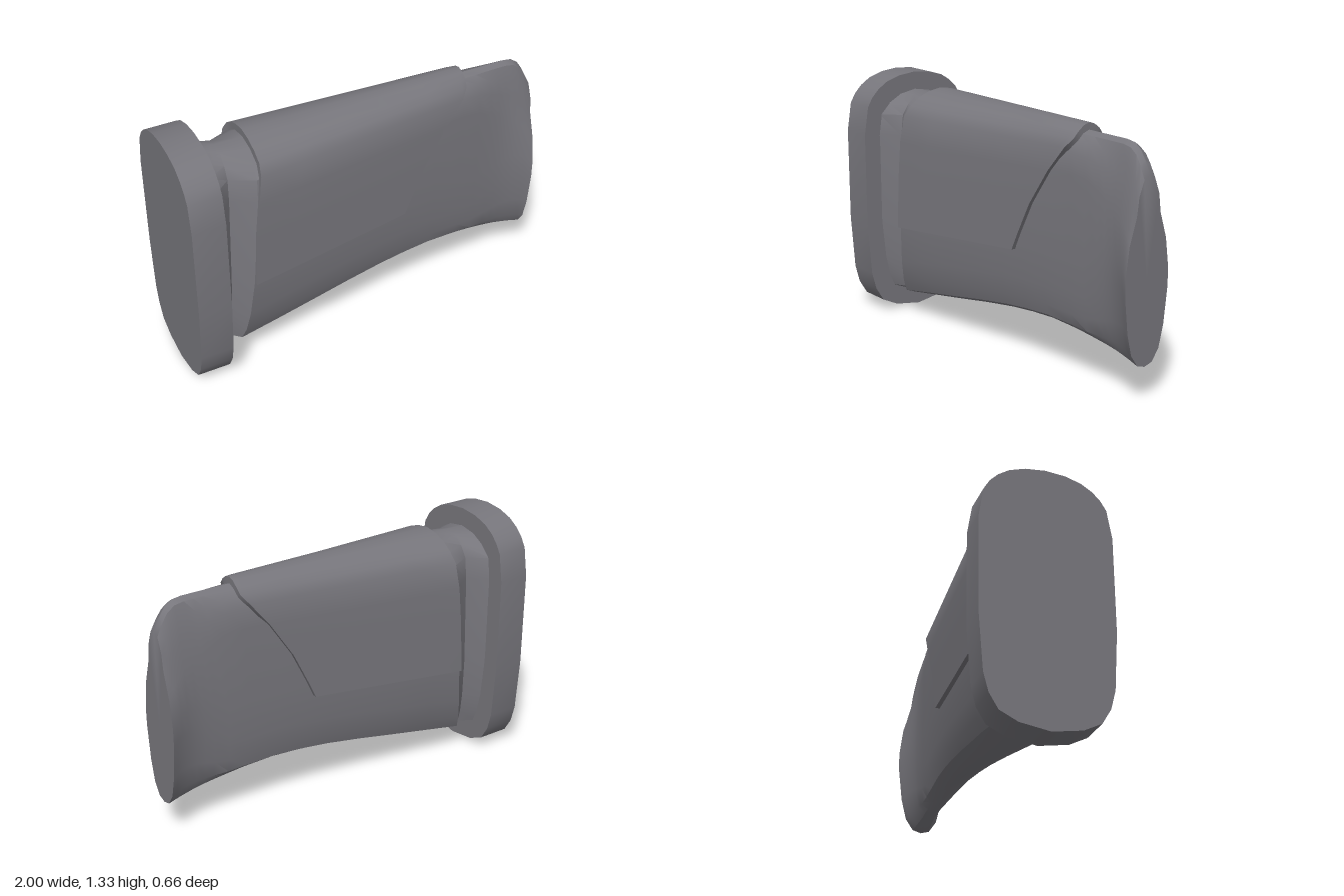
import * as THREE from 'three';
import { toCreasedNormals } from 'three/addons/utils/BufferGeometryUtils.js';

const { lerp, smoothstep } = THREE.MathUtils;

// Piecewise linear lookup in a list of [input, value] pairs
function table(pairs, x) {
  for (let i = 1; i < pairs.length; i++) {
    const [a, va] = pairs[i - 1], [b, vb] = pairs[i];
    if (x <= b) return lerp(va, vb, THREE.MathUtils.clamp((x - a) / (b - a), 0, 1));
  }
  return pairs[pairs.length - 1][1];
}

// Skin a list of rows of points (rows run along +x, columns run up the +z side and over)
function skin(rows, crease) {
  const n = rows[0].length, index = [];
  for (let r = 0; r < rows.length - 1; r++) {
    for (let c = 0; c < n - 1; c++) {
      const a = r * n + c, b = a + n;
      index.push(a, b, a + 1, b, b + 1, a + 1);
    }
  }
  const geometry = new THREE.BufferGeometry();
  geometry.setAttribute('position', new THREE.Float32BufferAttribute(rows.flat(2), 3));
  geometry.setIndex(index);
  return toCreasedNormals(geometry, crease);
}

// Butt pad: rounded tall outline [half width, y], extruded along x
function padGeometry() {
  const half = [[0, 1.33], [0.1, 1.32], [0.18, 1.295], [0.235, 1.26], [0.275, 1.22], [0.305, 1.17],
    [0.33, 1.02], [0.33, 0.53], [0.31, 0.24], [0.285, 0.145], [0.24, 0.07], [0.15, 0.025], [0, 0]];
  const mirrored = half.slice(1, -1).reverse().map(([w, y]) => [-w, y]);
  const shape = new THREE.Shape([...half, ...mirrored].map(([w, y]) => new THREE.Vector2(w, y)));
  const geometry = new THREE.ExtrudeGeometry(shape, { depth: 0.17, bevelEnabled: false });
  geometry.rotateY(Math.PI / 2);
  geometry.translate(-1, 0, 0);
  return toCreasedNormals(geometry, 0.6);
}

// Stock body: profiles [width factor, height factor], blended from butt to grip end
const BUTT = [[0, 0], [0.4, 0.015], [0.7, 0.04], [0.82, 0.1], [0.92, 0.2], [1, 0.38],
  [1, 0.8], [0.93, 0.9], [0.7, 0.95], [0.4, 0.985], [0, 1]];
const GRIP = [[0, 0], [0.35, 0.015], [0.65, 0.08], [0.85, 0.2], [1, 0.4], [1, 0.5],
  [0.85, 0.66], [0.55, 0.8], [0.46, 0.9], [0.25, 0.98], [0, 1]];
const BODY_TOP = [[-0.83, 1.235], [-0.6, 1.243], [0.85, 1.25], [0.9, 1.243], [0.94, 1.215], [0.97, 1.17], [1, 1.11]];
const BODY_BOTTOM = [[-0.83, 0.1], [-0.77, 0.09], [-0.4, 0.15], [0, 0.22], [0.2, 0.245], [0.4, 0.255],
  [0.6, 0.245], [0.8, 0.22], [1, 0.187]];
const BODY_WIDTH = [[-0.65, 0.225], [0.57, 0.102], [0.75, 0.088], [0.85, 0.09], [0.93, 0.108], [1, 0.135]];

function bodyRow(x, width = table(BODY_WIDTH, x), shift = () => 0) {
  const blend = smoothstep(x, 0.6, 1);
  const top = table(BODY_TOP, x), bottom = table(BODY_BOTTOM, x);
  const side = BUTT.map(([w, t], i) => {
    const h = lerp(t, GRIP[i][1], blend);
    return [x + shift(h), lerp(bottom, top, h), width * lerp(w, GRIP[i][0], blend)];
  });
  const other = side.slice(0, -1).reverse().map(([px, y, z]) => [px, y, -z]);
  return [...side, ...other];
}

function bodyGeometry() {
  const rows = [
    bodyRow(-0.84, 0.245),
    bodyRow(-0.77, 0.155, (t) => 0.035 * t),            // groove beside the pad
    bodyRow(-0.75, 0.225, (t) => 0.14 * Math.sqrt(t)),  // rear rim of the body
  ];
  for (const x of [-0.5, -0.3, -0.1, 0.1, 0.25, 0.4, 0.57, 0.67, 0.75, 0.8, 0.85, 0.9, 0.94, 0.97, 1]) {
    rows.push(bodyRow(x));
  }
  rows.push(rows[0].map(() => [1, 0.6, 0]));            // closed grip end
  return skin(rows, 0.6);
}

// Cheek rest: a saddle over the body with slanted rear, lower and front edges
const CHEEK = [[1, 0], [1, 0.13], [1, 0.37], [1, 0.64], [0.95, 0.83], [0.8, 0.9], [0.58, 0.95], [0.3, 0.985], [0, 1]];
const CHEEK_REAR = [[0, -0.66], [0.36, -0.645], [0.7, -0.62], [0.9, -0.595], [1, -0.595]];
const CHEEK_FRONT = [[0, 0.21], [0.13, 0.25], [0.37, 0.33], [0.62, 0.44], [0.83, 0.55], [0.91, 0.59], [1, 0.59]];
const CHEEK_WIDTH = [[-0.65, 0.246], [0.57, 0.124], [0.59, 0.11]];

function cheekRow(u, inset) {
  const point = ([w, f], cut) => {
    const x = lerp(table(CHEEK_REAR, f), table(CHEEK_FRONT, f), u);
    const y = lerp(0.53 + 0.08 * (x + 0.66), 1.28 + 0.006 * x, f);
    const z = w * table(CHEEK_WIDTH, x);
    return [x, y - cut * smoothstep(f, 0.6, 1), Math.max(0, z - cut)];
  };
  const side = [point(CHEEK[0], 0.04), ...CHEEK.map((p) => point(p, inset))];
  const other = side.slice(0, -1).reverse().map(([x, y, z]) => [x, y, -z]);
  return [...side, ...other];
}

function cheekGeometry() {
  const rows = [0, 0.2, 0.4, 0.6, 0.8, 0.975, 1].map((u) => cheekRow(u, 0));
  return skin([cheekRow(0, 0.045), ...rows, cheekRow(1, 0.045)], 0.6);
}

export function createModel() {
  const group = new THREE.Group();
  group.name = 'shoulderStock';
  const grey = new THREE.MeshStandardMaterial({ color: 0x77767c });
  grey.name = 'gunmetal grey';
  const parts = { buttPad: padGeometry(), stockBody: bodyGeometry(), cheekRest: cheekGeometry() };
  for (const [name, geometry] of Object.entries(parts)) {
    const mesh = new THREE.Mesh(geometry, grey);
    mesh.name = name;
    group.add(mesh);
  }
  return group;
}
